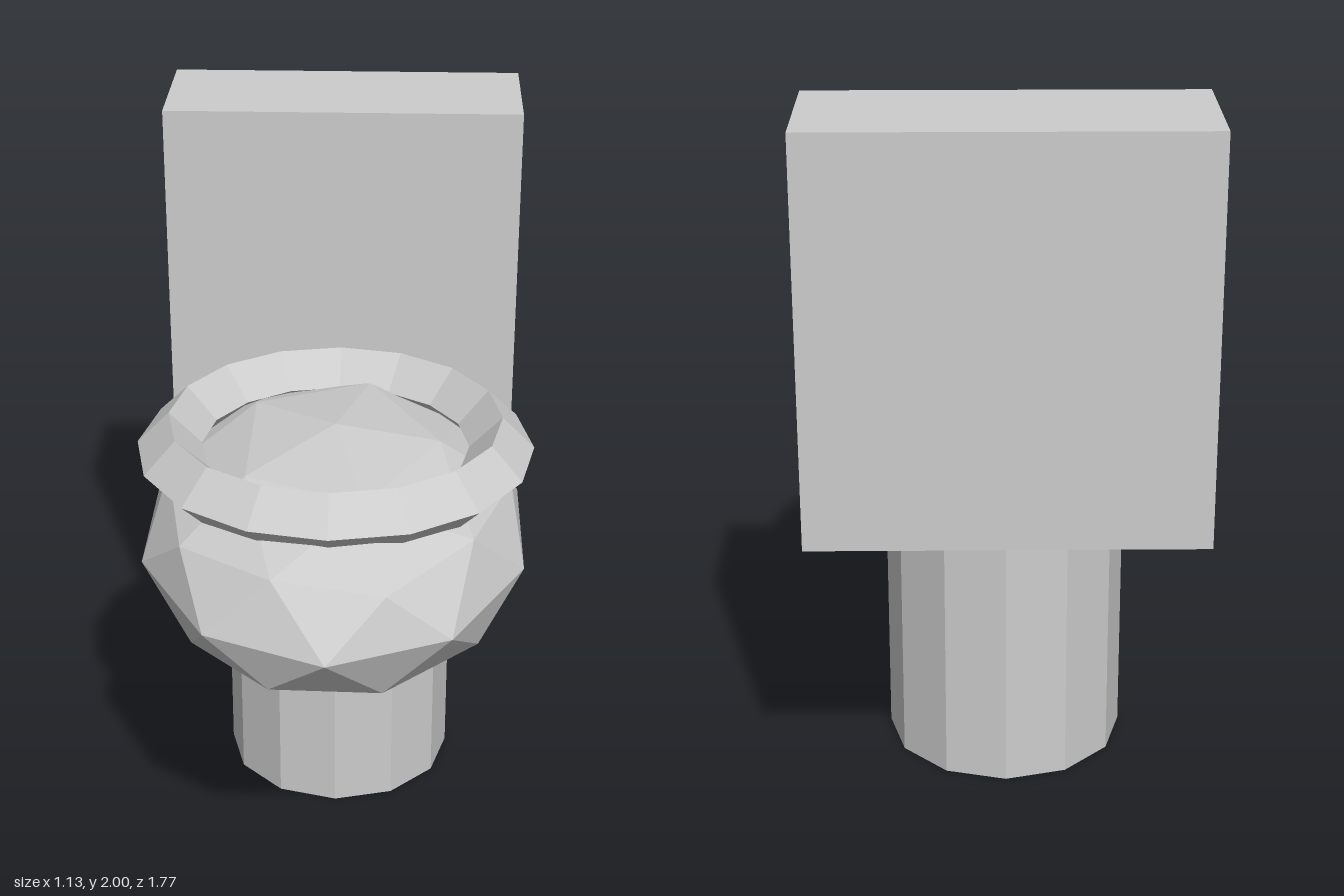
import * as THREE from 'three';

export function createModel() {
  const model = new THREE.Group();
  const porcelain = new THREE.MeshStandardMaterial({ color: 0xcccccc, flatShading: true });
  porcelain.name = 'porcelain grey';

  function addPart(name, geometry, x, y, z) {
    const mesh = new THREE.Mesh(geometry, porcelain);
    mesh.name = name;
    mesh.position.set(x, y, z);
    model.add(mesh);
  }

  // Twelve-sided pedestal under the back of the bowl
  addPart('pedestal', new THREE.CylinderGeometry(0.342, 0.342, 0.79, 12), 0, 0.395, -0.195);

  // Faceted bowl: icosphere turned so that a corner points straight up, then stretched
  const bowl = new THREE.IcosahedronGeometry(1, 1);
  bowl.rotateZ(Math.atan(2 / (1 + Math.sqrt(5))));
  bowl.rotateY(Math.PI);
  bowl.scale(0.563, 0.325, 0.768);
  bowl.computeVertexNormals();
  addPart('bowl', bowl, 0, 0.95, 0.115);

  // Seat ring with a diamond cross-section
  const seat = new THREE.TorusGeometry(0.472, 0.092, 4, 16);
  seat.rotateX(Math.PI / 2);
  addPart('seat', seat, 0, 1.21, 0.115);

  // Water tank behind the bowl
  addPart('tank', new THREE.BoxGeometry(1.054, 1.1, 0.42), 0, 1.45, -0.673);

  return model;
}
